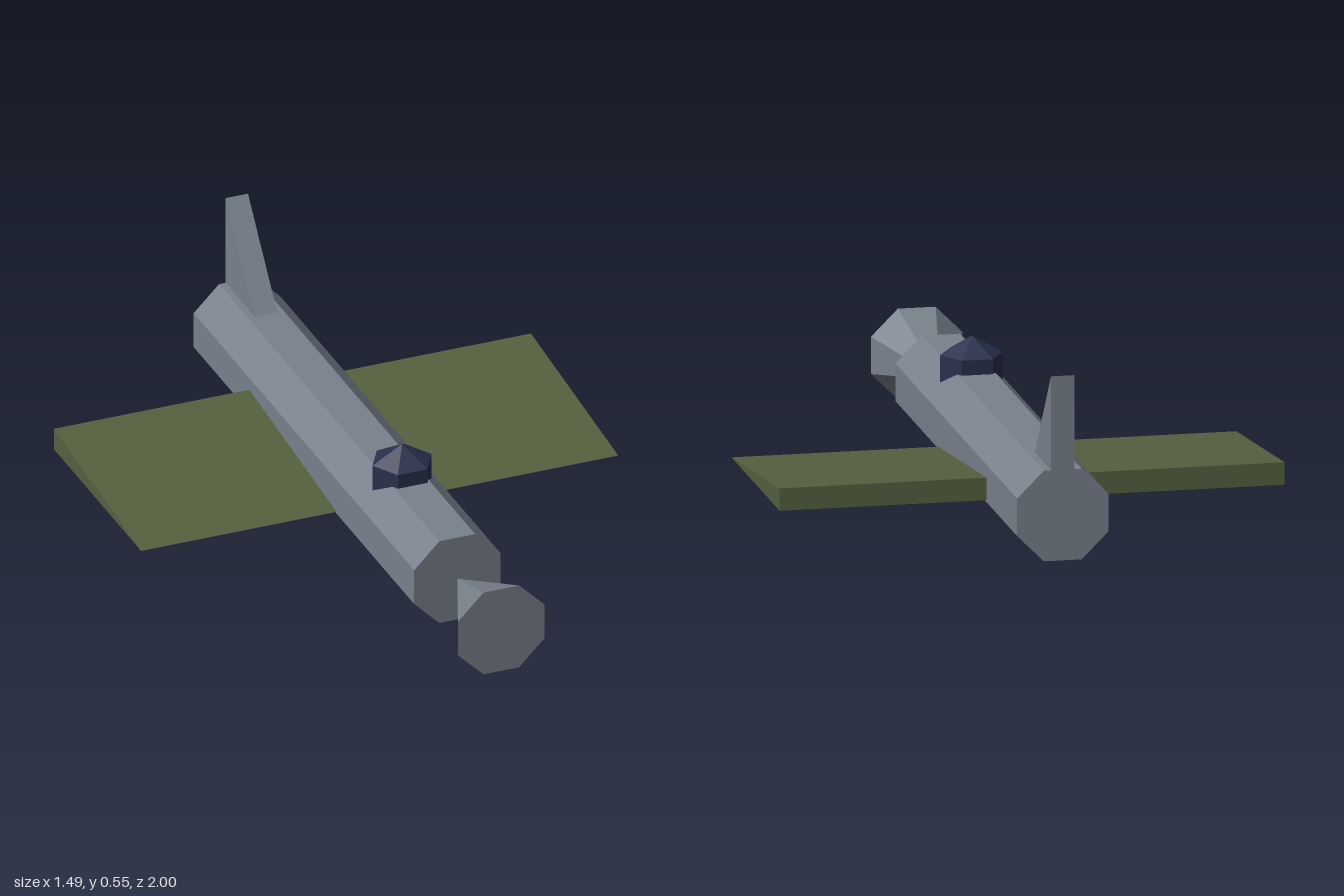
import * as THREE from 'three';

const paint = (name, color) => {
  const material = new THREE.MeshStandardMaterial({ color });
  material.name = name;
  return material;
};

// Gives every face its own flat normal
function faceted(geometry) {
  const flat = geometry.index ? geometry.toNonIndexed() : geometry;
  flat.computeVertexNormals();
  return flat;
}

// Side profile of [z, y] points, extruded across x and centred on x = 0
function wedge(points, width) {
  const shape = new THREE.Shape(points.map(([z, y]) => new THREE.Vector2(z, y)));
  return new THREE.ExtrudeGeometry(shape, { depth: width, bevelEnabled: false })
    .translate(0, 0, -width / 2)
    .rotateY(-Math.PI / 2);
}

export function createModel() {
  const group = new THREE.Group();
  const grey = paint('body grey', 0x78818c);
  const olive = paint('wing olive', 0x556140);
  const navy = paint('canopy navy', 0x28304c);

  const add = (name, geometry, material) => {
    const mesh = new THREE.Mesh(faceted(geometry), material);
    mesh.name = name;
    group.add(mesh);
  };

  // Octagonal body, flat side up
  const apothem = 0.135;
  const radius = apothem / Math.cos(Math.PI / 8);
  const noseStart = 0.667;
  const bodyLength = 1 + noseStart;
  add('fuselage',
    new THREE.CylinderGeometry(radius, radius, bodyLength, 8, 1, false, Math.PI / 8)
      .rotateX(Math.PI / 2)
      .translate(0, apothem, noseStart - bodyLength / 2),
    grey);

  // Nose cone with its tip touching the body and its base facing forward
  const noseLength = 1 - noseStart;
  add('noseCone',
    new THREE.ConeGeometry(radius, noseLength, 8, 1, false, Math.PI / 8)
      .rotateX(-Math.PI / 2)
      .translate(0, apothem, 1 - noseLength / 2),
    grey);

  // Wing, thin at the leading edge and thick at the back
  add('wing', wedge([[0.08, 0.085], [-0.58, 0.152], [-0.58, 0.085]], 1.494), olive);

  // Upright tail fin
  add('tailFin', wedge([[-0.777, 0.268], [-1, 0.55], [-1, 0.268]], 0.07), grey);

  // Six-sided canopy half sunk into the body
  add('canopy', new THREE.SphereGeometry(0.107, 6, 3).translate(0, 0.261, 0.25), navy);

  return group;
}
